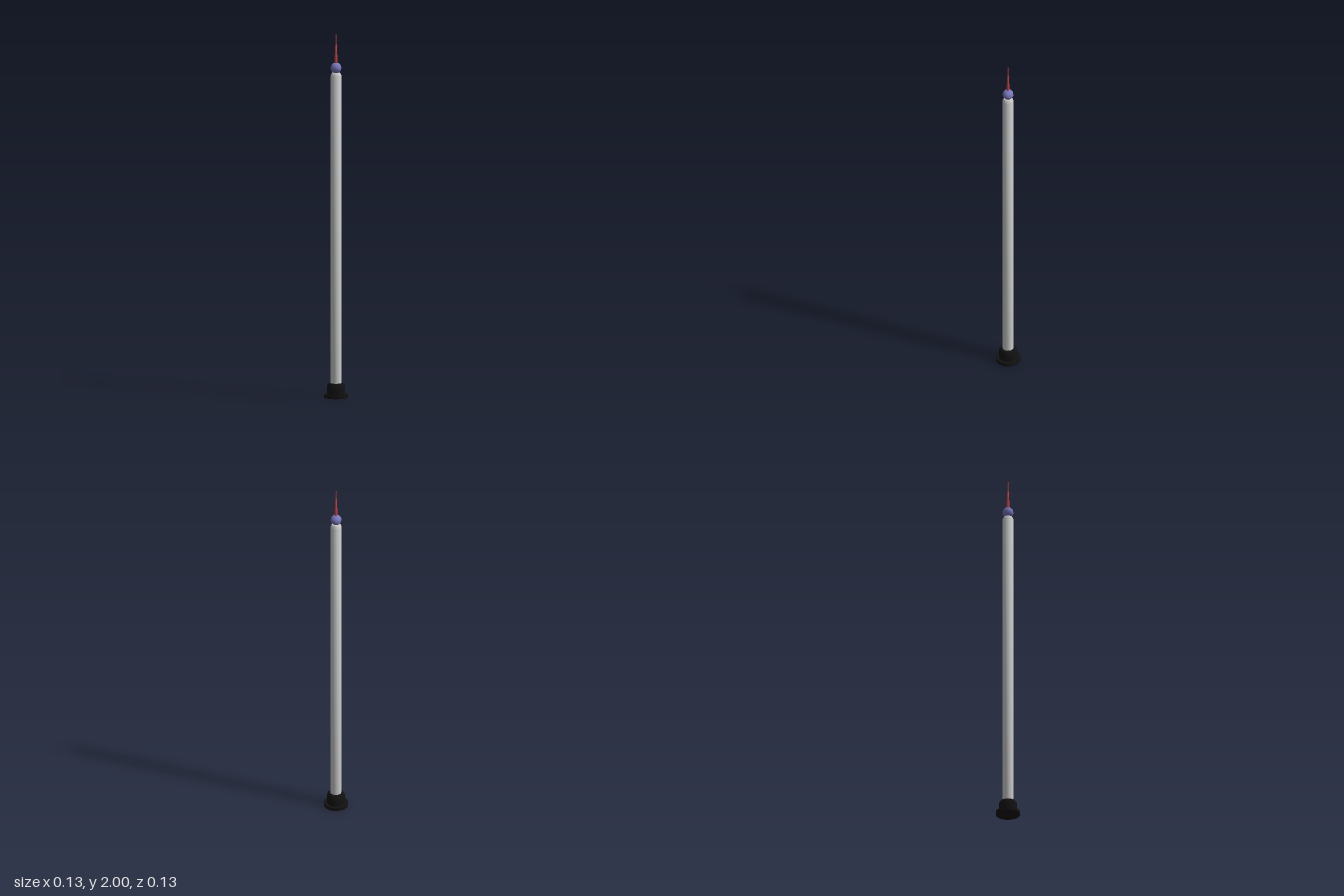
import * as THREE from 'three';
import { toCreasedNormals } from 'three/addons/utils/BufferGeometryUtils.js';

const SIDES = 12;

// Turned part from a bottom-to-top list of [radius, height]
function turned(name, color, profile) {
  const points = profile.map(([r, y]) => new THREE.Vector2(r, y));
  const geometry = toCreasedNormals(new THREE.LatheGeometry(points, SIDES), 0.6);
  const mesh = new THREE.Mesh(geometry, new THREE.MeshStandardMaterial({ color }));
  mesh.name = name;
  return mesh;
}

export function createModel() {
  const model = new THREE.Group();
  model.name = 'mast';

  // Wide foot plate and the socket that holds the pole
  model.add(turned('footPlate', 0x111111, [[0, 0], [0.067, 0], [0.067, 0.018], [0, 0.018]]));
  model.add(turned('socket', 0x111111, [[0, 0.01], [0.05, 0.01], [0.05, 0.066], [0.041, 0.08], [0, 0.08]]));

  // Long pole with a chamfered top
  model.add(turned('pole', 0xcccccc, [[0, 0.07], [0.03, 0.07], [0.03, 1.775], [0.023, 1.79], [0, 1.79]]));

  // Ball on top of the pole
  const ball = new THREE.Mesh(
    new THREE.SphereGeometry(0.03, SIDES, 10),
    new THREE.MeshStandardMaterial({ color: 0x7777bb })
  );
  ball.name = 'ball';
  ball.position.y = 1.817;
  model.add(ball);

  // Thin tapering spike
  model.add(turned('spike', 0xbb4444, [[0, 1.83], [0.009, 1.83], [0.0075, 1.88], [0.004, 1.95], [0.0015, 2], [0, 2]]));

  return model;
}
